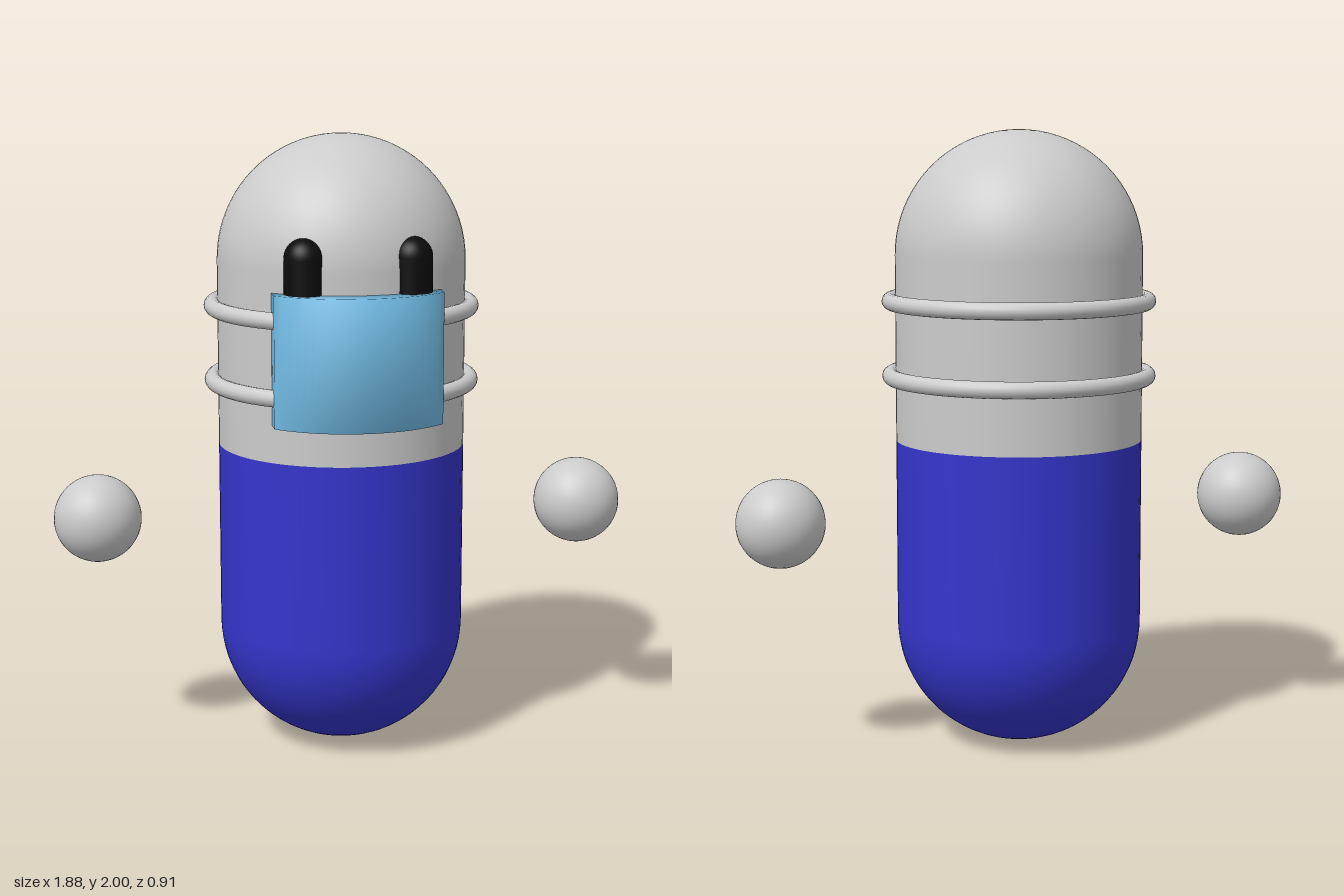
import * as THREE from 'three';
import { mergeVertices } from 'three/addons/utils/BufferGeometryUtils.js';

const R = 0.4;          // body radius
const Z = -0.013;       // body axis, set back slightly to balance the mask

const grey = new THREE.MeshStandardMaterial({ color: 0xcccccc });
const blue = new THREE.MeshStandardMaterial({ color: 0x3535cc });
const sky = new THREE.MeshStandardMaterial({ color: 0x72bce6 });
const black = new THREE.MeshStandardMaterial({ color: 0x0c0c0c });

function add(group, name, geometry, material, x, y, z) {
  const mesh = new THREE.Mesh(geometry, material);
  mesh.name = name;
  mesh.position.set(x, y, z);
  group.add(mesh);
  return mesh;
}

// Half capsule: open at y = 0, domed at y = 1
function halfCapsule() {
  const points = [new THREE.Vector2(R, 0)];
  for (let i = 0; i <= 20; i++) {
    const a = (i / 20) * Math.PI / 2;
    points.push(new THREE.Vector2(i === 20 ? 0 : R * Math.cos(a), 0.6 + R * Math.sin(a)));
  }
  return new THREE.LatheGeometry(points, 64);
}

// Box with a bowed front and softened normals
function maskGeometry(width, height, side, bulge) {
  const geo = new THREE.BoxGeometry(width, height, side, 24, 1, 1);
  geo.deleteAttribute('normal');
  geo.deleteAttribute('uv');
  const half = width / 2;
  const r = (half * half + bulge * bulge) / (2 * bulge);
  const p = geo.attributes.position;
  for (let i = 0; i < p.count; i++) {
    if (p.getZ(i) > 0) {
      const x = p.getX(i);
      p.setZ(i, side / 2 + Math.sqrt(r * r - x * x) - (r - bulge));
    }
  }
  const smooth = mergeVertices(geo);
  smooth.computeVertexNormals();
  return smooth;
}

export function createModel() {
  const model = new THREE.Group();
  model.name = 'capsuleFigure';

  // Two-tone body
  add(model, 'upperBody', halfCapsule(), grey, 0, 1, Z);
  add(model, 'lowerBody', halfCapsule(), blue, 0, 1, Z).rotation.x = Math.PI;

  // Face mask and its two straps
  add(model, 'mask', maskGeometry(0.53, 0.415, 0.064, 0.11), sky, 0, 1.328, 0.315);
  for (const [name, y] of [['upperStrap', 1.452], ['lowerStrap', 1.21]]) {
    const strap = new THREE.TorusGeometry(0.417, 0.027, 16, 72);
    add(model, name, strap, grey, 0, y, Z).rotation.x = Math.PI / 2;
  }

  // Eyes and floating hands
  for (const [side, s] of [['left', 1], ['right', -1]]) {
    add(model, side + 'Eye', new THREE.CapsuleGeometry(0.063, 0.18, 10, 32), black, s * 0.168, 1.555, 0.327);
    add(model, side + 'Hand', new THREE.SphereGeometry(0.142, 40, 24), grey, s * 0.8, 0.768, Z);
  }
  return model;
}
